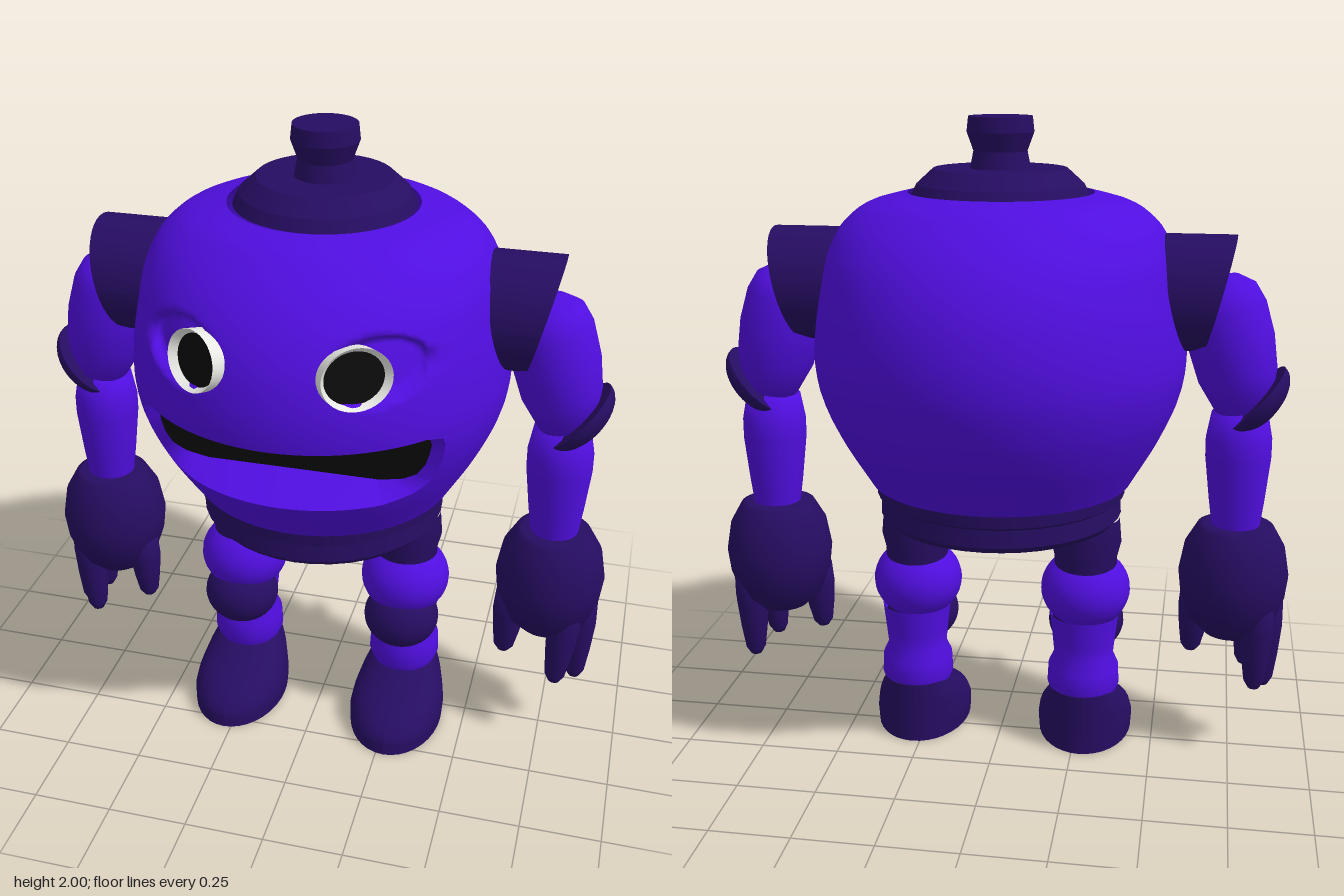
import * as THREE from 'three';

const V = (x, y, z) => new THREE.Vector3(x, y, z);
const colour = (name, hex, side = THREE.FrontSide) => {
  const m = new THREE.MeshStandardMaterial({ color: hex, side });
  m.name = name;
  return m;
};

// Interpolation through [position, value] keys
function curve(keys, Type) {
  const f = new Type(keys.map(k => k[0]), keys.map(k => k[1]), 1, [0]);
  return t => f.evaluate(t)[0];
}
const range = (a, b, n) => Array.from({ length: n + 1 }, (_, i) => a + (b - a) * i / n);

// Body outline: half width, half depth, and half angle of the mouth columns
const halfW = curve([[.89, .41], [1.05, .5], [1.18, .553], [1.28, .568], [1.4, .56], [1.5, .543],
  [1.62, .515], [1.71, .455], [1.755, .38], [1.78, .28]], THREE.CubicInterpolant);
const halfD = curve([[.89, .40], [1.05, .515], [1.18, .58], [1.28, .605], [1.4, .605], [1.53, .57],
  [1.64, .5], [1.72, .41], [1.76, .345], [1.78, .28]], THREE.CubicInterpolant);
const mouthAngle = curve([[.89, .6], [1.05, .6], [1.07, .78], [1.1, .87], [1.15, .9], [1.24, .9],
  [1.265, .88], [1.28, .78], [1.4, .8], [1.78, .8]], THREE.LinearInterpolant);
const mouthRows = [1.05, 1.06, 1.07, 1.085, 1.1, 1.125, 1.15, 1.2, 1.24, 1.265, 1.275, 1.28];
const MOUTH_COLS = 48, REST_COLS = 60;

function bodyPoint(angle, y) {
  const x = halfW(y) * Math.sin(angle);
  let z = halfD(y) * Math.cos(angle);
  // shallow eye sockets
  const d = ((Math.abs(x) - .27) / .13) ** 2 + ((y - 1.5) / .088) ** 2;
  if (z > 0 && d < 1) z -= .05 * Math.min(1, (1 - d) * 2.5);
  return V(x, y, z);
}

function indexed(points, index) {
  const g = new THREE.BufferGeometry().setFromPoints(points);
  g.setIndex(index);
  g.computeVertexNormals();
  return g;
}

// Body shell with the mouth left open
function bodyGeometry() {
  const ys = [...range(.89, 1.05, 8).slice(0, -1), ...mouthRows, ...range(1.28, 1.78, 40).slice(1)];
  const cols = MOUTH_COLS + REST_COLS, points = [], index = [];
  ys.forEach((y, i) => {
    const a = mouthAngle(y);
    for (let j = 0; j < cols; j++) {
      const angle = j < MOUTH_COLS ? -a + 2 * a * j / MOUTH_COLS
        : a + (2 * Math.PI - 2 * a) * (j - MOUTH_COLS) / REST_COLS;
      points.push(bodyPoint(angle, y));
      const open = j < MOUTH_COLS && y > 1.049 && y < 1.279;
      if (i === ys.length - 1 || open) continue;
      const p = i * cols + j, q = i * cols + (j + 1) % cols;
      index.push(p, q, p + cols, q, q + cols, p + cols);
    }
  });
  return indexed(points, index);
}

// Lip walls running from the mouth opening back to a flat dark plate
function mouthGeometries() {
  const edge = (y, dir) => range(-1, 1, MOUTH_COLS).map(t => bodyPoint(dir * t * mouthAngle(y), y));
  const sides = mouthRows.slice(1, -1);
  const outer = [...edge(1.05, 1), ...sides.map(y => bodyPoint(mouthAngle(y), y)),
    ...edge(1.28, -1), ...sides.reverse().map(y => bodyPoint(-mouthAngle(y), y))];
  const inner = outer.map(p => V(p.x * .91, 1.172 + (p.y - 1.165) * .7, .36));
  const n = outer.length, index = [];
  for (let i = 0; i < n; i++) {
    const k = (i + 1) % n;
    index.push(i, k, n + i, k, n + k, n + i);
  }
  const plate = new THREE.ShapeGeometry(new THREE.Shape(inner.map(p => new THREE.Vector2(p.x, p.y))));
  plate.translate(0, 0, .36);
  return [indexed([...outer, ...inner], index), plate];
}

// Lathe from [radius, height] pairs; crisp repeats inner points to keep edges sharp
function lathe(profile, crisp = false, segments = 40) {
  const last = profile.length - 1;
  const pts = profile.flatMap((p, i) => {
    const v = new THREE.Vector2(p[0], p[1]);
    return crisp && i > 0 && i < last ? [v, v.clone()] : [v];
  });
  return new THREE.LatheGeometry(pts, segments);
}

// Turned limb running from a to b; profile heights are fractions of its length
function limb(a, b, profile) {
  const dir = b.clone().sub(a), len = dir.length();
  const g = lathe(profile.map(([r, t]) => [r, t * len]), false, 28);
  g.applyQuaternion(new THREE.Quaternion().setFromUnitVectors(V(0, 1, 0), dir.normalize()));
  return g.translate(a.x, a.y, a.z);
}

function moveVertices(g, rule) {
  const pos = g.attributes.position, v = V(0, 0, 0);
  for (let i = 0; i < pos.count; i++) {
    rule(v.fromBufferAttribute(pos, i));
    pos.setXYZ(i, v.x, v.y, v.z);
  }
  g.computeVertexNormals();
  return g;
}

const ball = (c, rx, ry, rz) => new THREE.SphereGeometry(1, 32, 20).scale(rx, ry, rz).translate(c.x, c.y, c.z);

// Foot: stacked ovals, long at the sole and drawn in at the ankle
function footGeometry(x) {
  const K = THREE.LinearInterpolant;
  const width = curve([[0, .152], [.05, .155], [.09, .148], [.14, .13], [.2, .1]], K);
  const toe = curve([[0, .295], [.05, .288], [.09, .25], [.14, .14], [.2, .04]], K);
  return moveVertices(new THREE.CylinderGeometry(1, 1, .2, 36, 12), v => {
    v.y += .1;
    const front = toe(v.y), mid = (front - .145) / 2;
    v.x = x + v.x * width(v.y);
    v.z = mid + v.z * (front - mid);
  });
}

export function createModel() {
  const model = new THREE.Group();
  model.name = 'robot';
  const purple = colour('bright purple', 0x500ee0, THREE.DoubleSide);
  const dark = colour('dark purple', 0x260d62);
  const white = colour('eye white', 0xf6f6f2, THREE.DoubleSide);
  const black = colour('black', 0x0b0b0b);
  const add = (parent, name, g, m) => {
    const mesh = new THREE.Mesh(g, m);
    mesh.name = name;
    parent.add(mesh);
    return mesh;
  };
  const group = name => {
    const g = new THREE.Group();
    g.name = name;
    model.add(g);
    return g;
  };

  // Torso
  add(model, 'body', bodyGeometry(), purple);
  const [lips, plate] = mouthGeometries();
  add(model, 'mouthLips', lips, purple);
  add(model, 'mouthInside', plate, black);
  add(model, 'waistBand', lathe([[0, .765], [.365, .765], [.382, .785], [.378, .84], [.392, .85], [.395, .895], [0, .895]], true), dark);
  add(model, 'topCap', lathe([[0, 1.77], [.268, 1.77], [.25, 1.805], [.2, 1.85], [.09, 1.85], [.08, 1.9],
    [.1, 1.955], [.095, 2], [0, 2]], true), dark).position.z = -.015;

  for (const s of [1, -1]) {
    const side = s > 0 ? 'left' : 'right';

    // Eye: white cup with a sunken pupil
    const eye = group(side + 'Eye');
    eye.position.set(.23 * s, 1.495, .543);
    eye.rotation.set(-.2, .62 * s, 0, 'YXZ');
    eye.scale.set(1.08, .9, 1);
    add(eye, 'eyeWhite', lathe([[.094, -.05], [.095, 0], [.079, -.024]], true).rotateX(Math.PI / 2), white);
    add(eye, 'pupil', new THREE.CircleGeometry(.081, 40).translate(0, 0, -.022), black);

    // Arm
    const arm = group(side + 'Arm');
    const shoulder = new THREE.CylinderGeometry(.174, .174, .24, 40).rotateZ(-Math.PI / 2 * s);
    moveVertices(shoulder, v => {
      if (v.x * s > 0) v.x += s * v.y * .25;
      v.x += .54 * s;
      v.y += 1.492;
      v.z -= .012;
    });
    add(arm, 'shoulder', shoulder, dark);
    add(arm, 'upperArm', limb(V(.67 * s, 1.47, -.01), V(.75 * s, 1.13, -.012),
      [[0, -.23], [.06, -.2], [.105, -.1], [.124, .06], [.13, .35], [.12, .65], [.085, .95], [0, 1.05]]), purple);
    const pad = add(arm, 'elbowPad', new THREE.SphereGeometry(.13, 32, 12, 0, Math.PI * 2, 0, Math.PI / 2).scale(1, .55, 1), dark);
    pad.position.set(.778 * s, 1.175, -.014);
    pad.quaternion.setFromUnitVectors(V(0, 1, 0), V(.76 * s, -.65, 0).normalize());
    const padBack = add(arm, 'elbowPadBack', new THREE.CircleGeometry(.13, 32).rotateX(Math.PI / 2), dark);
    padBack.position.copy(pad.position);
    padBack.quaternion.copy(pad.quaternion);
    add(arm, 'forearm', limb(V(.74 * s, .75, -.01), V(.735 * s, 1.15, -.012),
      [[.072, 0], [.085, .25], [.1, .6], [.1, .75], [.085, .95], [0, 1.02]]), purple);

    // Hand with three fingers and a thumb
    const hand = group(side + 'Hand');
    add(hand, 'palm', lathe([[0, .4], [.085, .41], [.135, .46], [.163, .54], [.171, .61], [.155, .7],
      [.118, .765], [.1, .772], [0, .773]]).translate(.74 * s, 0, -.008), dark);
    const finger = [[0, 0], [.05, .05], [.052, .35], [.043, .65], [.032, .9], [.018, .98], [0, 1]];
    for (const [x0, x1, y1, z0, z1] of [[.81, .79, .25, .06, .09], [.85, .85, .22, -.01, .005], [.82, .82, .24, -.08, -.07]])
      add(hand, 'finger', limb(V(x0 * s, .55, z0), V(x1 * s, y1, z1), finger), dark);
    add(hand, 'thumb', limb(V(.63 * s, .55, .03), V(.615 * s, .31, .04), finger), dark);

    // Leg
    const leg = group(side + 'Leg'), x = .275 * s;
    add(leg, 'hip', lathe([[.1, .56], [.1, .64], [.112, .69], [.105, .77]]).translate(x, 0, -.01), dark);
    add(leg, 'thigh', ball(V(x, .525, -.002), .143, .128, .14), purple);
    add(leg, 'knee', ball(V(x, .395, .045), .122, .108, .115), dark);
    add(leg, 'shin', lathe([[.1, .17], [.116, .21], [.113, .27], [.095, .31], [.1, .36], [.11, .45]]).translate(x, 0, -.028), purple);
    add(leg, 'foot', footGeometry(x), dark);
  }
  return model;
}
